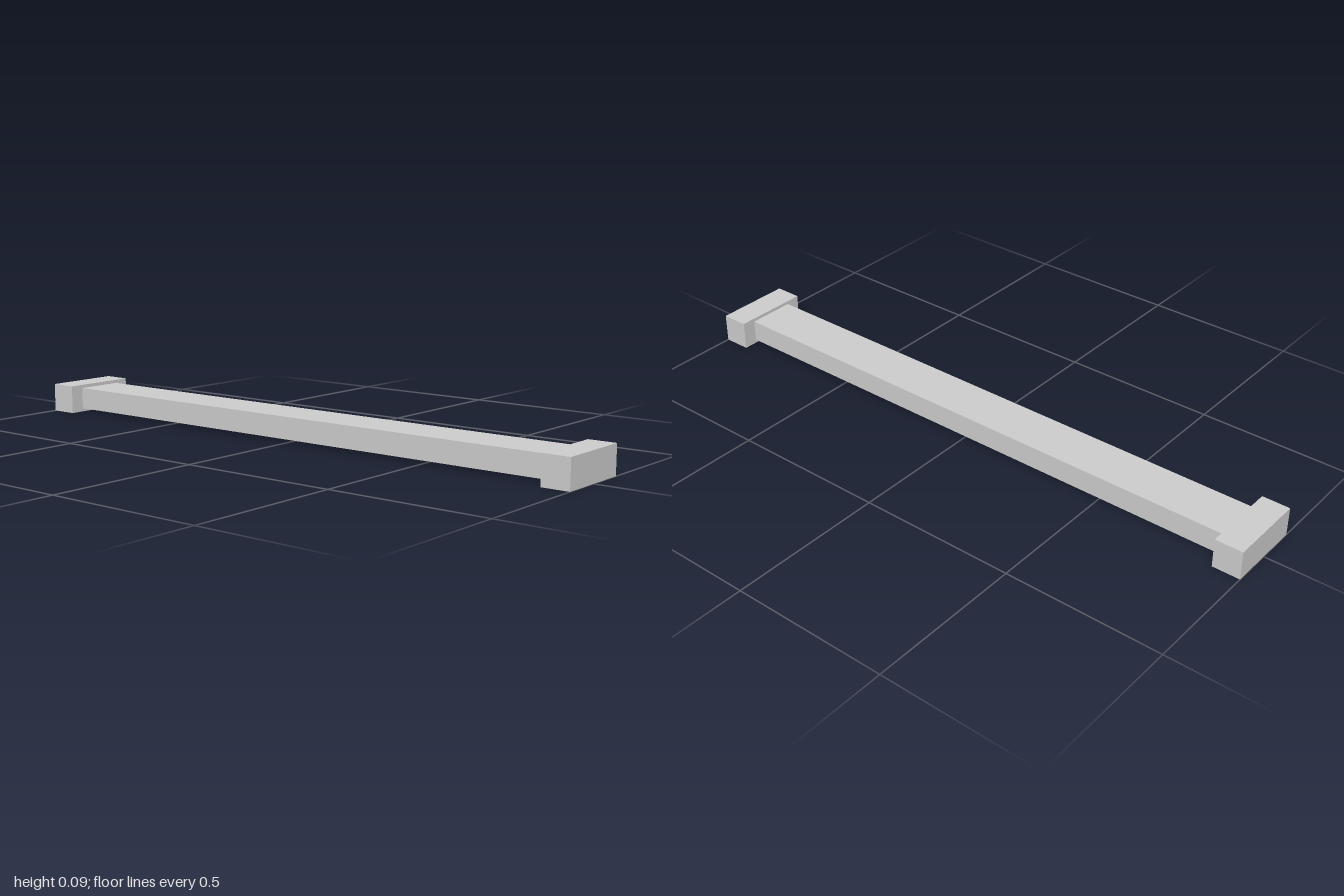
import * as THREE from 'three';

export function createModel() {
  const group = new THREE.Group();
  const material = new THREE.MeshStandardMaterial({ color: 0xcccccc, flatShading: true });
  const capWidth = 0.088, capHeight = 0.092, capDepth = 0.25;

  function addBox(name, width, height, depth, x) {
    const mesh = new THREE.Mesh(new THREE.BoxGeometry(width, height, depth), material);
    mesh.name = name;
    mesh.position.set(x, capHeight / 2, 0);
    group.add(mesh);
  }

  // Long flat beam between the end blocks
  addBox('beam', 2 - 2 * capWidth, 0.07, 0.157, 0);

  // Wider block at each end
  for (const side of [-1, 1]) {
    addBox(side > 0 ? 'leftEndBlock' : 'rightEndBlock', capWidth, capHeight, capDepth, side * (1 - capWidth / 2));
  }
  return group;
}
